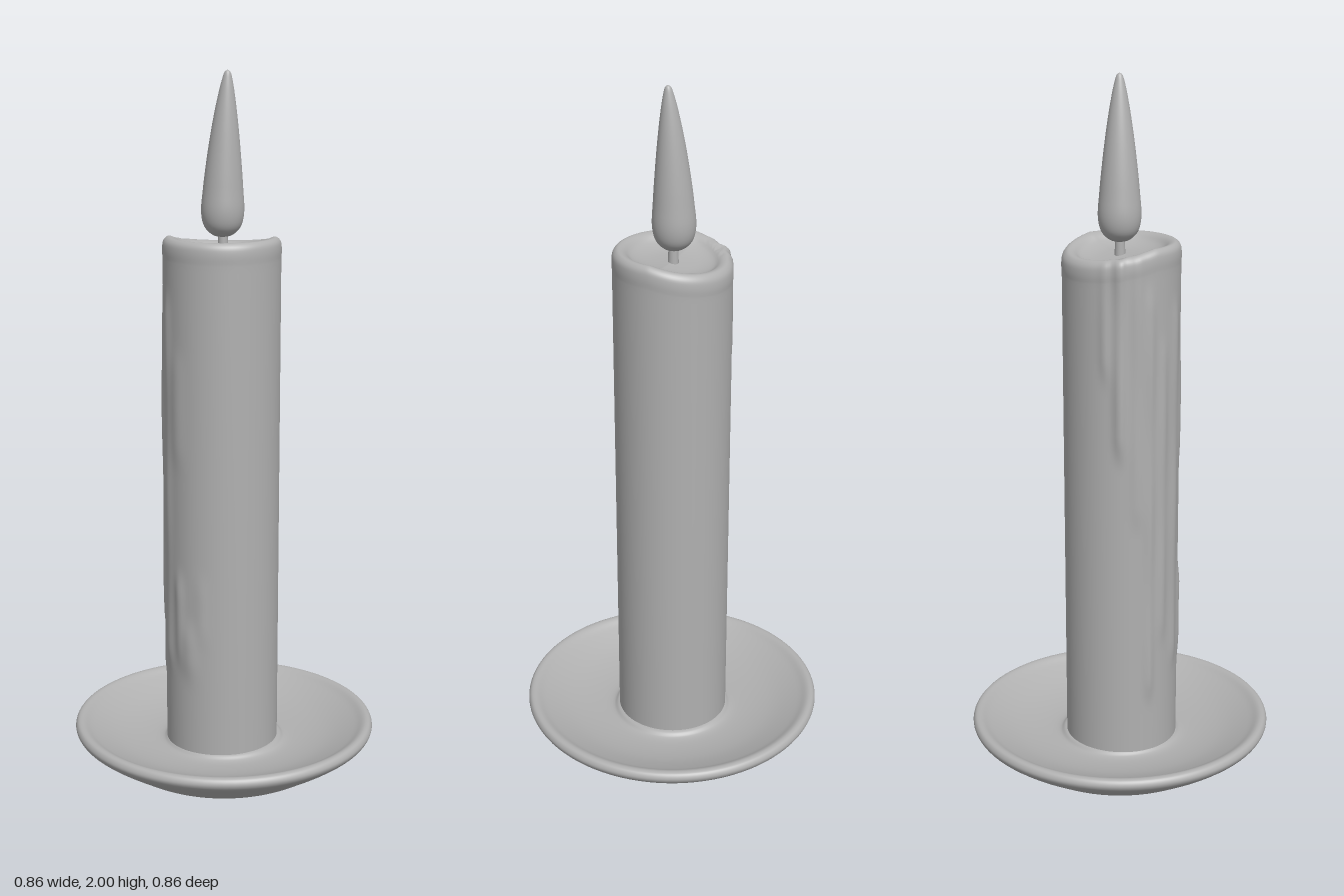
import * as THREE from 'three';
import { mergeVertices } from 'three/addons/utils/BufferGeometryUtils.js';

const grey = new THREE.MeshStandardMaterial({ color: 0xb0b0b0 });
grey.name = 'plain grey';

// Lathe a profile of [radius, height] points, move its vertices by a rule, weld the seam.
function turned(name, profile, segments, rule) {
  let geo = new THREE.LatheGeometry(profile.map(([r, y]) => new THREE.Vector2(r, y)), segments);
  geo.deleteAttribute('uv');
  geo.deleteAttribute('normal');
  const pos = geo.attributes.position;
  const p = new THREE.Vector3();
  for (let i = 0; i < pos.count; i++) {
    p.fromBufferAttribute(pos, i);
    if (rule) rule(p);
    pos.setXYZ(i, p.x, p.y, p.z);
  }
  geo = mergeVertices(geo, 1e-5);
  geo.computeVertexNormals();
  const mesh = new THREE.Mesh(geo, grey);
  mesh.name = name;
  return mesh;
}

// Smooth a few profile points into many.
function smooth(points, count) {
  const curve = new THREE.CatmullRomCurve3(
    points.map(([r, y]) => new THREE.Vector3(r, y, 0)), false, 'centripetal');
  return curve.getPoints(count).map((p) => [Math.max(p.x, 0), p.y]);
}

// Wax runs: angle from the front, bottom, top, angular width, thickness.
const runs = [
  [-1.60, 1.00, 1.60, 0.09, 0.013],
  [-1.85, 1.22, 1.60, 0.08, 0.006],
  [-1.30, 0.80, 1.60, 0.10, 0.006],
  [-1.08, 0.28, 1.45, 0.09, 0.009],
  [-0.80, 0.45, 1.30, 0.09, 0.007],
  [-0.45, 0.36, 1.40, 0.11, 0.006],
  [-0.15, 0.95, 1.25, 0.16, 0.004],
  [-0.12, 0.38, 0.62, 0.10, 0.007],
  [0.10, 0.34, 0.48, 0.16, 0.007],
  [0.35, 0.45, 0.62, 0.12, 0.004],
];

function waxRule(p) {
  const angle = Math.atan2(p.x, p.z);
  const r = Math.hypot(p.x, p.z);
  const step = THREE.MathUtils.smoothstep;
  let bump = 0;
  for (const [a, low, high, width, thick] of runs) {
    const across = Math.exp(-(((angle - a) / width) ** 2));
    const along = step(p.y, low - 0.04, low + 0.05) * (1 - step(p.y, high - 0.05, high + 0.04));
    const wave = 0.8 + 0.2 * Math.sin(p.y * 14 + a * 9);
    bump += thick * across * along * wave;
  }
  if (r > 0.13) {
    const k = 1 + bump / r;
    p.x *= k;
    p.z *= k;
  }
  // The melted rim slumps towards the back and the right-hand side.
  if (p.y > 1.4) {
    const slump = Math.max(0, -p.x * 0.6 - p.z * 0.8) / 0.16;
    p.y -= 0.035 * slump * step(p.y, 1.4, 1.53);
  }
  p.x -= 0.004;
  p.z += 0.004;
}

export function createModel() {
  const model = new THREE.Group();
  model.name = 'candle';

  // Saucer: underside, rounded rim, then the inner bowl
  const saucer = smooth([
    [0, 0.004], [0.1, 0.007], [0.2, 0.016], [0.27, 0.034], [0.34, 0.075], [0.40, 0.115],
    [0.424, 0.136], [0.429, 0.15], [0.422, 0.163], [0.408, 0.165], [0.38, 0.15],
    [0.3, 0.118], [0.22, 0.102], [0.175, 0.102], [0.16, 0.112], [0.13, 0.115],
  ], 70);
  model.add(turned('saucer', saucer, 96));

  // Small nub under the saucer
  const nub = new THREE.Mesh(new THREE.SphereGeometry(0.05, 24, 12), grey);
  nub.name = 'saucerFoot';
  nub.scale.y = 0.16;
  nub.position.set(0, 0.008, 0);
  model.add(nub);

  // Wax body: straight side, soft rim and hollow melted top
  const side = [];
  for (let i = 0; i < 70; i++) side.push([0.159 + 0.002 * (i / 70), 0.1 + 1.4 * (i / 70)]);
  const rim = smooth([
    [0.161, 1.5], [0.162, 1.53], [0.158, 1.55], [0.146, 1.56], [0.13, 1.556],
    [0.11, 1.54], [0.075, 1.528], [0.03, 1.524], [0, 1.524],
  ], 32);
  model.add(turned('waxBody', [...side, ...rim], 128, waxRule));

  // Wick
  const wick = new THREE.Mesh(new THREE.CylinderGeometry(0.012, 0.015, 0.07, 16), grey);
  wick.name = 'wick';
  wick.position.set(-0.004, 1.55, 0);
  model.add(wick);

  // Flame: teardrop whose tip leans a little
  const flame = smooth([
    [0, 1.557], [0.025, 1.562], [0.048, 1.583], [0.058, 1.62], [0.054, 1.69], [0.046, 1.77],
    [0.036, 1.85], [0.025, 1.92], [0.015, 1.97], [0.007, 1.995], [0, 2.0],
  ], 44);
  model.add(turned('flame', flame, 48, (p) => {
    p.x += -0.006 + 0.018 * Math.max(0, (p.y - 1.6) / 0.4) ** 1.5;
    p.z -= 0.001;
  }));

  return model;
}
